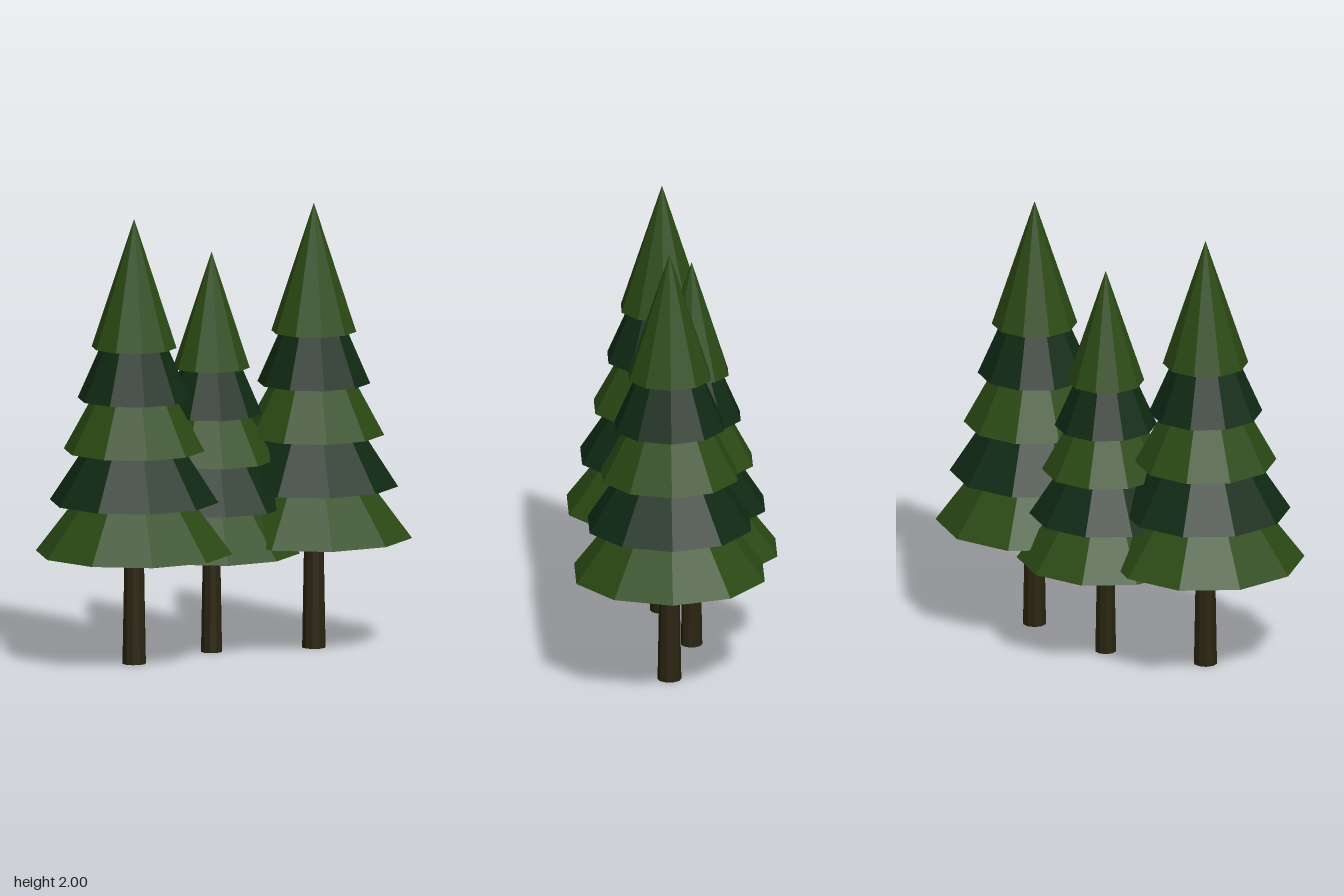
import * as THREE from 'three';

const flat = (name, color) => {
  const m = new THREE.MeshStandardMaterial({ color, flatShading: true });
  m.name = name;
  return m;
};

const SIDES = 10;
const TIERS = 5;

// One conifer: tapered trunk and five overlapping cones in alternating greens
function makeTree(name, mats) {
  const tree = new THREE.Group();
  tree.name = name;

  const trunkGeo = new THREE.CylinderGeometry(0.042, 0.053, 0.6, SIDES);
  const trunk = new THREE.Mesh(trunkGeo, mats.bark);
  trunk.name = 'trunk';
  trunk.position.y = 0.3;
  tree.add(trunk);

  const height = 0.577;
  for (let i = 0; i < TIERS; i++) {
    const radius = 0.44 - 0.0625 * i;
    // Starting at a quarter turn puts a corner on the x axis
    const geo = new THREE.ConeGeometry(radius, height, SIDES, 1, false, Math.PI / 2);
    const tier = new THREE.Mesh(geo, i % 2 ? mats.dark : mats.light);
    tier.name = `foliageTier${i + 1}`;
    tier.position.y = 0.5 + height * (0.4 * i + 0.5);
    tree.add(tier);
  }
  return tree;
}

export function createModel() {
  const group = new THREE.Group();
  group.name = 'pineTrees';
  const mats = {
    light: flat('light pine green', 0x2b4a14),
    dark: flat('dark pine green', 0x102a14),
    bark: flat('dark bark', 0x2a2411),
  };

  // Two tall trees in front, a smaller one between them at the back
  const layout = [
    ['rightTree', -0.455, 0.035, 1],
    ['middleTree', 0, -0.08, 0.9],
    ['leftTree', 0.455, 0.035, 1],
  ];
  for (const [name, x, z, scale] of layout) {
    const tree = makeTree(name, mats);
    tree.position.set(x, 0, z);
    tree.scale.setScalar(scale);
    group.add(tree);
  }
  return group;
}
